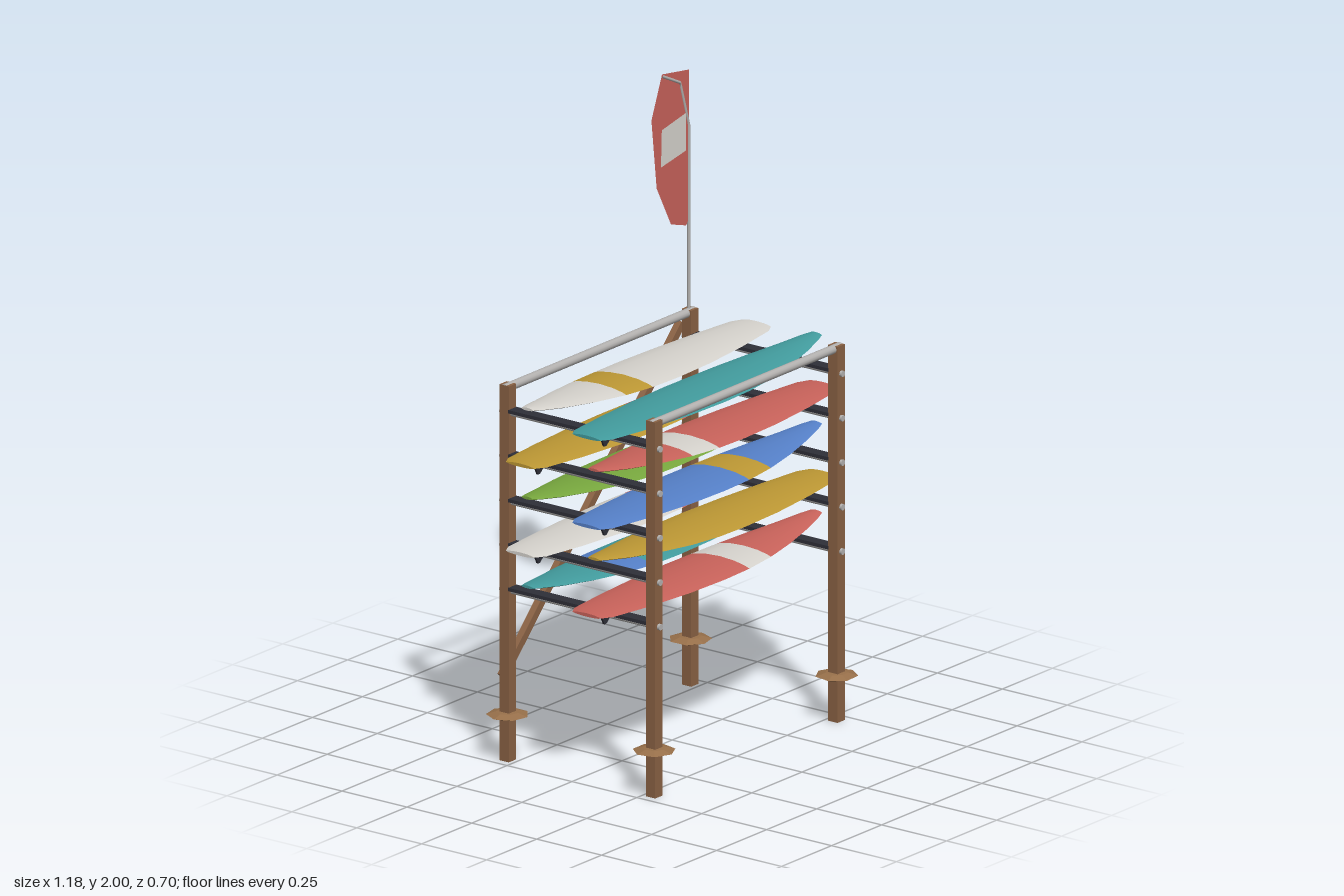
import * as THREE from 'three';
import { toCreasedNormals } from 'three/addons/utils/BufferGeometryUtils.js';

const mat = (name, color, extra = {}) => {
  const m = new THREE.MeshStandardMaterial({ color, ...extra });
  m.name = name;
  return m;
};

export function createModel() {
  const root = new THREE.Group();
  root.name = 'boardRack';
  const two = { side: THREE.DoubleSide };
  const wood = mat('wood', 0x8a6244, { flatShading: true });
  const earth = mat('lightWood', 0x98704a, { flatShading: true });
  const metal = mat('metal', 0xb4b2b0);
  const dark = mat('darkPadding', 0x2e2f38);
  const teal = mat('teal', 0x429c9e);
  const white = mat('offWhite', 0xd6d3cd, two);
  const yellow = mat('yellow', 0xbd9834);
  const red = mat('red', 0xc8625a, two);
  const blue = mat('blue', 0x5580c8);
  const green = mat('green', 0x78a83e);

  const add = (name, geo, material, x = 0, y = 0, z = 0, parent = root) => {
    const m = new THREE.Mesh(geo, material);
    m.name = name;
    m.position.set(x, y, z);
    parent.add(m);
    return m;
  };

  const PX = 0.455, PZ = 0.282;

  // Posts with a faceted collar near the ground
  const collar = new THREE.LatheGeometry(
    [[0.001, 0.135], [0.04, 0.138], [0.067, 0.147], [0.036, 0.156], [0.001, 0.158]]
      .map(p => new THREE.Vector2(...p)), 7);
  let turn = 0.2;
  for (const sx of [-1, 1]) for (const sz of [-1, 1]) {
    add('post', new THREE.BoxGeometry(0.036, 1.21, 0.036), wood, sx * PX, 0.605, sz * PZ);
    add('postCollar', collar, earth, sx * PX, 0, sz * PZ).rotation.y = turn;
    turn += 0.7;
  }

  // Top rails, running left to right
  for (const sz of [-1, 1]) {
    add('topRail', new THREE.CylinderGeometry(0.014, 0.014, 0.945, 12), metal, 0, 1.199, sz * PZ)
      .rotation.z = Math.PI / 2;
  }

  // Diagonal brace across the back
  const dx = 0.89, dy = 0.9;
  add('backBrace', new THREE.BoxGeometry(Math.hypot(dx, dy), 0.026, 0.022), wood, 0, 0.71, -0.311)
    .rotation.z = Math.atan2(dy, dx);

  // Board: stations are [x, half width, half thickness, rocker lift]
  const stations = [
    [-0.59, 0.055, 0.006, 0.006], [-0.555, 0.074, 0.009, 0.005], [-0.4, 0.095, 0.013, 0.002],
    [-0.22, 0.111, 0.016, 0], [-0.05, 0.117, 0.017, 0], [0.075, 0.114, 0.017, 0.001],
    [0.195, 0.104, 0.015, 0.005], [0.32, 0.084, 0.013, 0.012], [0.44, 0.057, 0.01, 0.021],
    [0.52, 0.036, 0.007, 0.03], [0.555, 0.023, 0.005, 0.034]];
  const section = [[1, 0], [0.86, 0.35], [0.5, 0.8], [0, 1], [-0.5, 0.8], [-0.86, 0.35],
    [-1, 0], [-0.8, -0.5], [-0.4, -0.8], [0, -0.85], [0.4, -0.8], [0.8, -0.5]];
  const n = section.length;

  function boardGeometry() {
    const pos = [], idx = [];
    for (const [x, w, t, lift] of stations)
      for (const [a, b] of section) pos.push(x, lift + b * t, a * w);
    const last = stations.length - 1;
    for (let j = 1; j < n - 1; j++) idx.push(0, j, j + 1);
    const starts = [];
    for (let i = 0; i < last; i++) {
      starts.push(idx.length);
      for (let j = 0; j < n; j++) {
        const k = (j + 1) % n, a = i * n, b = a + n;
        idx.push(a + j, b + j, b + k, a + j, b + k, a + k);
      }
    }
    for (let j = 1; j < n - 1; j++) idx.push(last * n, last * n + j + 1, last * n + j);
    const g = new THREE.BufferGeometry();
    g.setAttribute('position', new THREE.Float32BufferAttribute(pos, 3));
    g.setIndex(idx);
    // the stripe fills the span between stations 5 and 6
    g.addGroup(0, starts[5], 0);
    g.addGroup(starts[5], starts[6] - starts[5], 1);
    g.addGroup(starts[6], idx.length - starts[6], 0);
    return toCreasedNormals(g, 0.6);
  }
  const boardGeo = boardGeometry();

  // Tail fin
  const finShape = new THREE.Shape([[-0.525, -0.005], [-0.505, -0.046], [-0.495, -0.046], [-0.45, -0.005]]
    .map(p => new THREE.Vector2(...p)));
  const finGeo = new THREE.ExtrudeGeometry(finShape, { depth: 0.007, bevelEnabled: false });
  finGeo.translate(0, 0, -0.0035);

  // Each level from the top: [front, front stripe, back, back stripe]
  const levels = [
    [teal, teal, white, yellow],
    [red, white, yellow, red],
    [blue, yellow, green, green],
    [yellow, yellow, white, red],
    [red, white, teal, blue]];
  const bar = new THREE.CylinderGeometry(0.01, 0.01, 0.616, 12).rotateX(Math.PI / 2);
  const pad = new THREE.BoxGeometry(0.04, 0.011, 0.53);

  levels.forEach(([front, frontStripe, back, backStripe], i) => {
    const y = 1.12 - i * 0.143;
    for (const sx of [-1, 1]) {
      add('crossBar', bar, metal, sx * PX, y, 0);
      add('barPadding', pad, dark, sx * PX, y + 0.009, 0);
    }
    // neighbouring boards point in opposite directions
    const flip = i % 2 === 1;
    for (const [name, z, body, stripe, turned] of [
      ['frontBoard', 0.126, front, frontStripe, flip],
      ['backBoard', -0.13, back, backStripe, !flip]]) {
      const g = new THREE.Group();
      g.name = name;
      g.position.set(0, y + 0.032, z);
      if (turned) g.rotation.y = Math.PI;
      root.add(g);
      add('board', boardGeo, [body, stripe], 0, 0, 0, g);
      add('fin', finGeo, dark, 0, 0, 0, g);
    }
  });

  // Flag pole with a bent tip
  const path = new THREE.CurvePath();
  const bend = [[0.45, 1.2], [0.45, 1.8], [0.405, 1.95], [0.315, 1.994]]
    .map(([x, y]) => new THREE.Vector3(x, y, -0.283));
  for (let i = 0; i < 3; i++) path.add(new THREE.LineCurve3(bend[i], bend[i + 1]));
  add('flagPole', new THREE.TubeGeometry(path, 60, 0.005, 8), metal);

  // Flag and its front patch
  const plate = pts => new THREE.ShapeGeometry(new THREE.Shape(pts.map(p => new THREE.Vector2(...p))));
  add('flag', plate([[0.45, 1.98], [0.315, 2], [0.262, 1.865], [0.288, 1.64], [0.36, 1.505],
    [0.435, 1.482], [0.45, 1.5]]), red, 0, 0, -0.282);
  add('flagPatch', plate([[0.31, 1.822], [0.43, 1.846], [0.432, 1.725], [0.306, 1.703]]),
    white, 0, 0, -0.279);

  return root;
}
